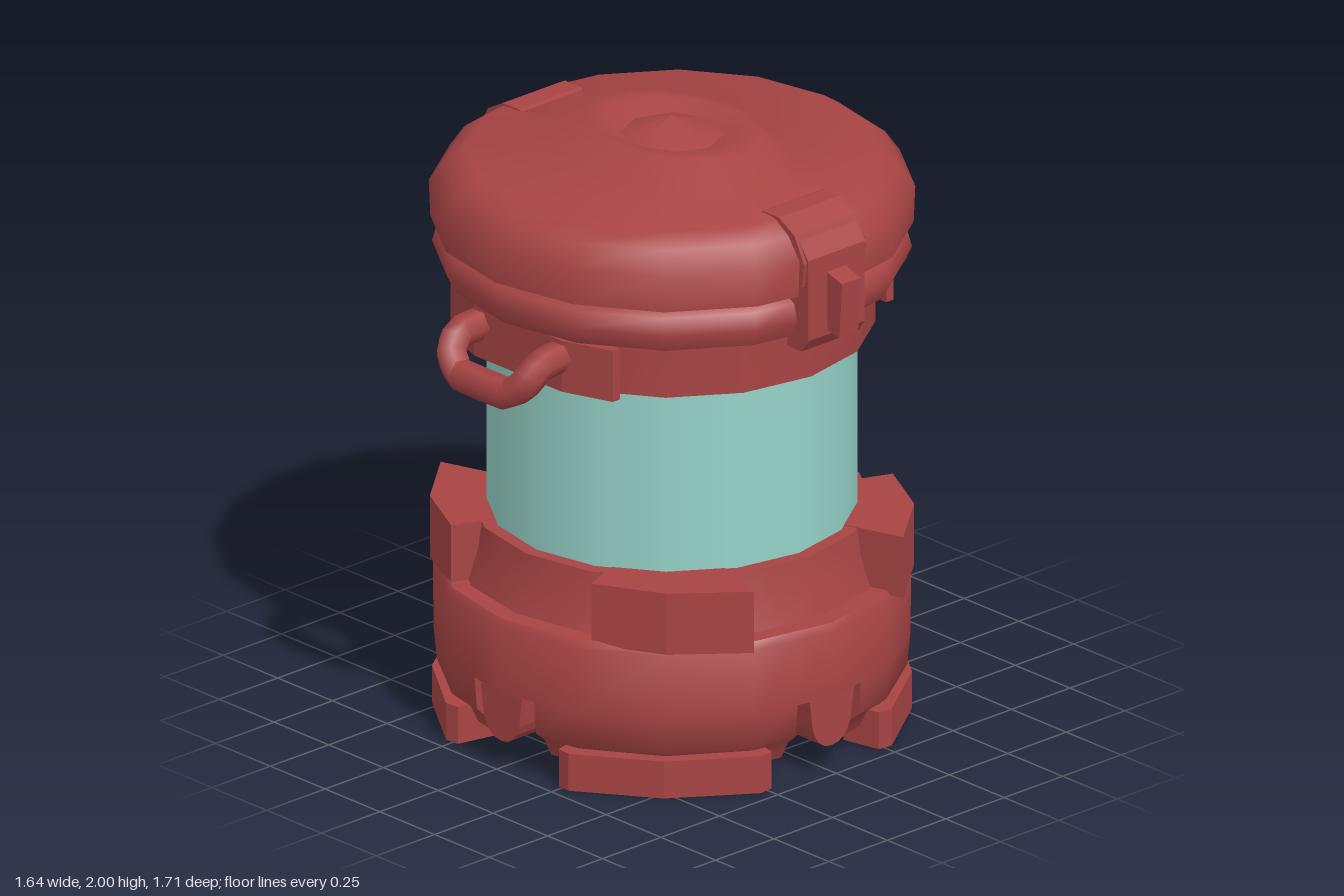
import * as THREE from 'three';
import { toCreasedNormals } from 'three/addons/utils/BufferGeometryUtils.js';

const red = new THREE.MeshStandardMaterial({ color: 0xa84444 });
const teal = new THREE.MeshStandardMaterial({ color: 0x96d2c8 });

// One 16-sided outline; sides listed in notchStep get a slot cut to recess * radius
function outline(r, recess, notchStep, w0) {
  const pts = [];
  for (let k = 0; k < 16; k++) {
    const t = (k * Math.PI) / 8, s = Math.sin(t), c = Math.cos(t);
    const put = (rad, tan) => pts.push([rad * s + tan * c, rad * c - tan * s]);
    if (notchStep && (k + 4) % notchStep === 0) {
      const w = Math.min(w0, r * 0.3), a = r - w * 0.199;
      put(a, -w);
      put(a * recess, -w);
      put(recess < 1 ? a * recess : r, 0);
      put(a * recess, w);
      put(a, w);
    } else put(r, 0);
  }
  return pts;
}

// Stacked outlines, bottom centre to top centre: [radius x, y, recess, radius z]
function turned(rows, notchStep = 0, w = 0.135, crease = 0.9) {
  const pos = [], idx = [];
  let n = 0;
  for (const [r, y, recess = 1, rz = r] of rows) {
    const ring = outline(r, recess, notchStep, w);
    n = ring.length;
    for (const [x, z] of ring) pos.push(x, y, r ? (z * rz) / r : 0);
  }
  for (let i = 0; i < rows.length - 1; i++)
    for (let j = 0; j < n; j++) {
      const a = i * n + j, b = i * n + ((j + 1) % n);
      idx.push(a, b, b + n, a, b + n, a + n);
    }
  const g = new THREE.BufferGeometry();
  g.setAttribute('position', new THREE.Float32BufferAttribute(pos, 3));
  g.setIndex(idx);
  return toCreasedNormals(g, crease);
}

// Side profile extruded symmetrically across its width
function plate(points, width) {
  const shape = new THREE.Shape(points.map((p) => new THREE.Vector2(...p)));
  const g = new THREE.ExtrudeGeometry(shape, { depth: width, bevelEnabled: false });
  return g.translate(0, 0, -width / 2);
}

// Plan outline (x, z) extruded upward from y0 to y1
function slab(points, y0, y1) {
  const g = plate(points.map(([x, z]) => [x, -z]), y1 - y0);
  return g.rotateX(-Math.PI / 2).translate(0, (y0 + y1) / 2, 0);
}

export function createModel() {
  const model = new THREE.Group();
  const add = (name, geo, mat = red, turn = 0, parent = model) => {
    const m = new THREE.Mesh(geo, mat);
    m.name = name;
    m.rotation.y = turn;
    parent.add(m);
    return m;
  };

  // Base with four slots and a hollow underside
  add('base', turned([
    [0, 0.12], [0.3, 0.12], [0.55, 0.1], [0.59, 0.06, 0.9], [0.67, 0.06, 0.85],
    [0.7, 0.12, 0.85], [0.735, 0.15, 0.85], [0.745, 0.26, 0.85], [0.745, 0.26],
    [0.747, 0.48], [0.73, 0.505], [0.67, 0.505], [0.64, 0.6], [0.625, 0.695], [0, 0.695],
  ], 4));

  // Wedge-shaped claws in the slots
  const claw = new THREE.Shape();
  claw.moveTo(-0.095, 0.26);
  claw.lineTo(-0.08, 0.16);
  claw.quadraticCurveTo(-0.06, 0.09, 0, 0.09);
  claw.quadraticCurveTo(0.06, 0.09, 0.08, 0.16);
  claw.lineTo(0.095, 0.26);
  const clawGeo = new THREE.ExtrudeGeometry(claw, { depth: 0.17, bevelEnabled: false, curveSegments: 4 });
  clawGeo.translate(0, 0, 0.56);
  for (let k = 0; k < 4; k++) add('claw', clawGeo, red, (k * Math.PI) / 2);

  // Feet and collar pads on the four diagonals
  const foot = [[0.23, 0.7], [0.28, 0.705], [0.53, 0.53], [0.705, 0.28], [0.7, 0.23], [0.57, 0.2], [0.42, 0.42], [0.2, 0.57]];
  const pad = [[0.32, 0.645], [0.54, 0.53], [0.715, 0.32], [0.35, 0.2], [0.2, 0.35]];
  for (const sx of [1, -1])
    for (const sz of [1, -1]) {
      const mirror = (p) => p.map(([x, z]) => [x * sx, z * sz]);
      add('foot', slab(mirror(foot), 0, 0.125));
      add('collarPad', slab(mirror(pad), 0.49, 0.697));
    }

  // Glass cylinder
  add('glass', new THREE.CylinderGeometry(0.58, 0.58, 0.64, 16, 1, true).translate(0, 1, 0), teal);

  // Upper collar and lid, the lid slotted for the side latches
  add('upperCollar', turned([[0, 1.31], [0.635, 1.31], [0.635, 1.51], [0, 1.51]]));
  add('lid', turned([
    [0, 1.505], [0.72, 1.505, 0.92], [0.75, 1.565, 0.92], [0.735, 1.62, 0.92], [0.7, 1.64, 0.92],
    [0.755, 1.65, 0.92], [0.76, 1.77, 0.92], [0.71, 1.84, 0.92], [0.65, 1.88, 0.92],
    [0.46, 1.88, 1, 0.31], [0.33, 1.97, 1, 0.24], [0.24, 1.97, 1, 0.2], [0.165, 1.94], [0, 1.94],
  ], 8, 0.14, 1.1));
  add('lidKnob', new THREE.ConeGeometry(0.165, 0.06, 8).translate(0, 1.97, 0));

  // Side latches
  const strap = [[0.6, 1.84], [0.7, 1.84], [0.75, 1.77], [0.752, 1.5], [0.72, 1.455], [0.655, 1.455], [0.655, 1.5], [0.6, 1.52]];
  const cap = [[0.52, 1.87], [0.56, 1.885], [0.63, 1.885], [0.7, 1.845], [0.745, 1.76], [0.735, 1.68], [0.6, 1.68]];
  const lever = [[0.73, 1.72], [0.755, 1.71], [0.82, 1.69], [0.807, 1.505], [0.73, 1.52]];
  for (const turn of [0, Math.PI]) {
    const latch = new THREE.Group();
    latch.name = 'latch';
    latch.rotation.y = turn;
    add('latchStrap', plate(strap, 0.24), red, 0, latch);
    add('latchCap', plate(cap, 0.265), red, 0, latch);
    add('latchLever', plate(lever, 0.08), red, 0, latch);
    model.add(latch);
  }

  // Front and back carrying handles on their mounting plates
  const path = [
    [-0.18, 1.43, 0.62], [-0.185, 1.42, 0.74], [-0.17, 1.37, 0.785], [-0.11, 1.32, 0.803],
    [0.11, 1.32, 0.803], [0.17, 1.37, 0.785], [0.185, 1.42, 0.74], [0.18, 1.43, 0.62],
  ].map((p) => new THREE.Vector3(...p));
  const bar = new THREE.TubeGeometry(new THREE.CatmullRomCurve3(path, false, 'catmullrom', 0.15), 28, 0.052, 6);
  for (const turn of [0, Math.PI]) {
    const handle = new THREE.Group();
    handle.name = 'handle';
    handle.rotation.y = turn;
    add('handlePlate', slab([[-0.37, 0.57], [-0.37, 0.6], [-0.2, 0.66], [0.2, 0.66], [0.37, 0.6], [0.37, 0.57]], 1.315, 1.488), red, 0, handle);
    add('handleBar', bar, red, 0, handle);
    model.add(handle);
  }
  return model;
}
